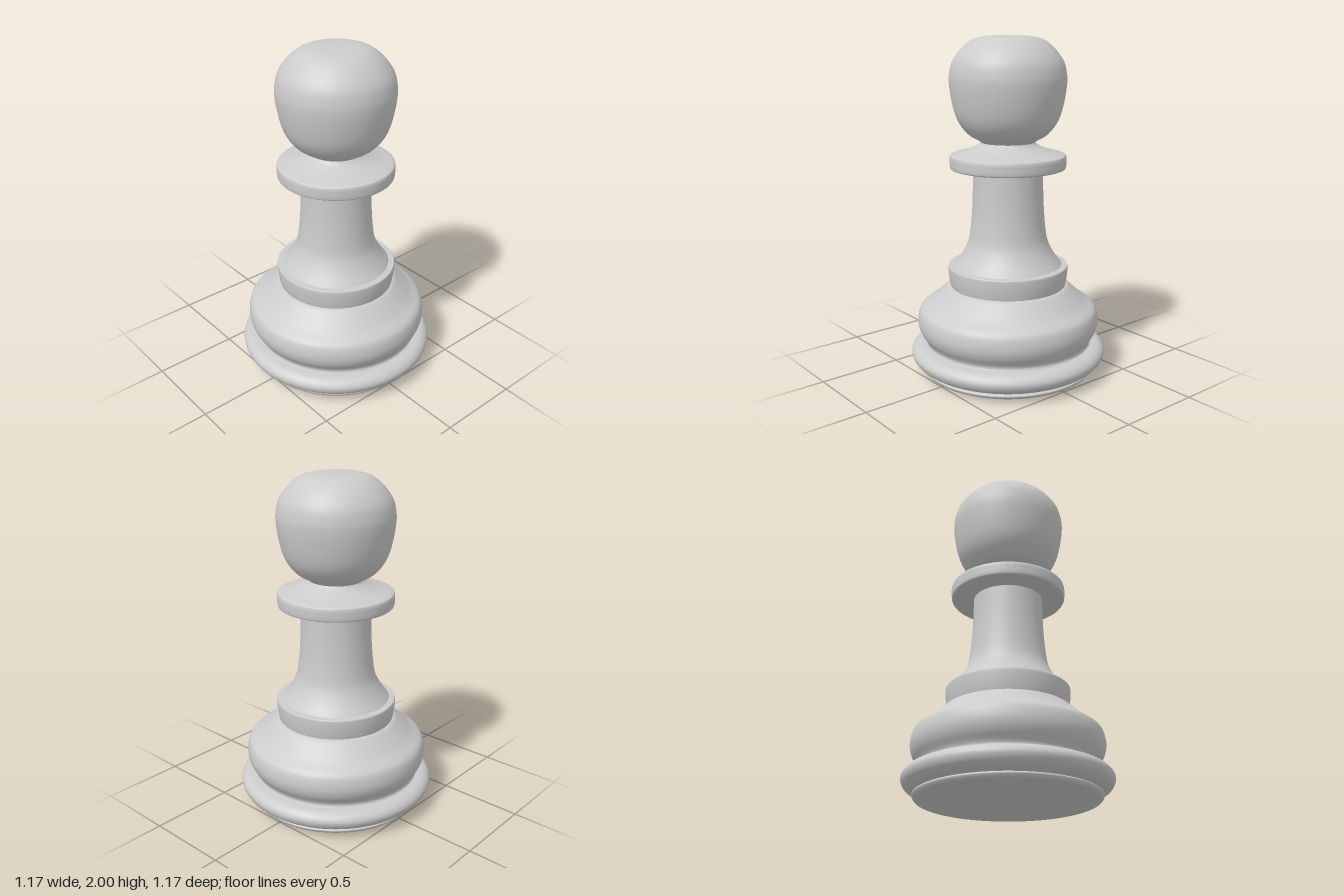
import * as THREE from 'three';

const material = new THREE.MeshStandardMaterial({ color: 0xcccccc });

// Turned surface through [radius, height] points, listed bottom to top
function turned(name, points, smooth = true) {
  const pts = points.map(([r, y]) => new THREE.Vector2(r, y));
  const profile = smooth && pts.length > 2
    ? new THREE.SplineCurve(pts).getPoints((pts.length - 1) * 5)
    : pts;
  profile.forEach((p) => { p.x = Math.max(p.x, 0); });
  const mesh = new THREE.Mesh(new THREE.LatheGeometry(profile, 96), material);
  mesh.name = name;
  return mesh;
}

// A part made of several turned surfaces that meet at sharp edges
function part(name, ...sections) {
  const group = new THREE.Group();
  group.name = name;
  sections.forEach((s, i) => group.add(turned(`${name}Surface${i + 1}`, s)));
  return group;
}

export function createModel() {
  const pawn = new THREE.Group();
  pawn.name = 'pawn';

  // Thin foot disc with a shallow groove above it
  pawn.add(part('foot',
    [[0, 0], [0.16, 0.003], [0.495, 0.012]],
    [[0.495, 0.012], [0.51, 0.016], [0.522, 0.032], [0.518, 0.042], [0.5, 0.046]],
    [[0.5, 0.046], [0.505, 0.052]]));

  // Rounded base ring
  pawn.add(part('baseRing',
    [[0.505, 0.05], [0.535, 0.058], [0.572, 0.085], [0.587, 0.122], [0.575, 0.152], [0.545, 0.172], [0.5, 0.178]],
    [[0.5, 0.178], [0.48, 0.179]]));

  // Swelling lower body
  pawn.add(part('lowerBody',
    [[0.502, 0.176], [0.496, 0.19], [0.502, 0.21], [0.528, 0.25], [0.542, 0.29], [0.544, 0.33],
      [0.535, 0.375], [0.515, 0.403], [0.465, 0.437], [0.41, 0.485], [0.365, 0.525], [0.345, 0.533]]));

  // Band with a flat upper ledge
  pawn.add(part('band',
    [[0.345, 0.53], [0.35, 0.555], [0.356, 0.6], [0.358, 0.645], [0.354, 0.655]],
    [[0.354, 0.655], [0.315, 0.657]]));

  // Flared stem
  pawn.add(part('stem',
    [[0.322, 0.655], [0.275, 0.72], [0.24, 0.79], [0.225, 0.86], [0.214, 0.97], [0.208, 1.1], [0.206, 1.24]]));

  // Collar with flat underside and sloping top
  pawn.add(part('collar',
    [[0.2, 1.236], [0.325, 1.235]],
    [[0.325, 1.235], [0.337, 1.24], [0.341, 1.255], [0.342, 1.28], [0.341, 1.305], [0.33, 1.32],
      [0.27, 1.335], [0.215, 1.353], [0.172, 1.375], [0.155, 1.392]]));

  // Rounded head, flattened on top
  pawn.add(part('head',
    [[0.155, 1.388], [0.175, 1.403], [0.225, 1.432], [0.273, 1.485], [0.305, 1.55], [0.327, 1.64],
      [0.339, 1.73], [0.336, 1.79], [0.318, 1.855], [0.27, 1.922], [0.215, 1.968], [0.165, 1.988],
      [0.09, 1.997], [0, 2]]));

  return pawn;
}
